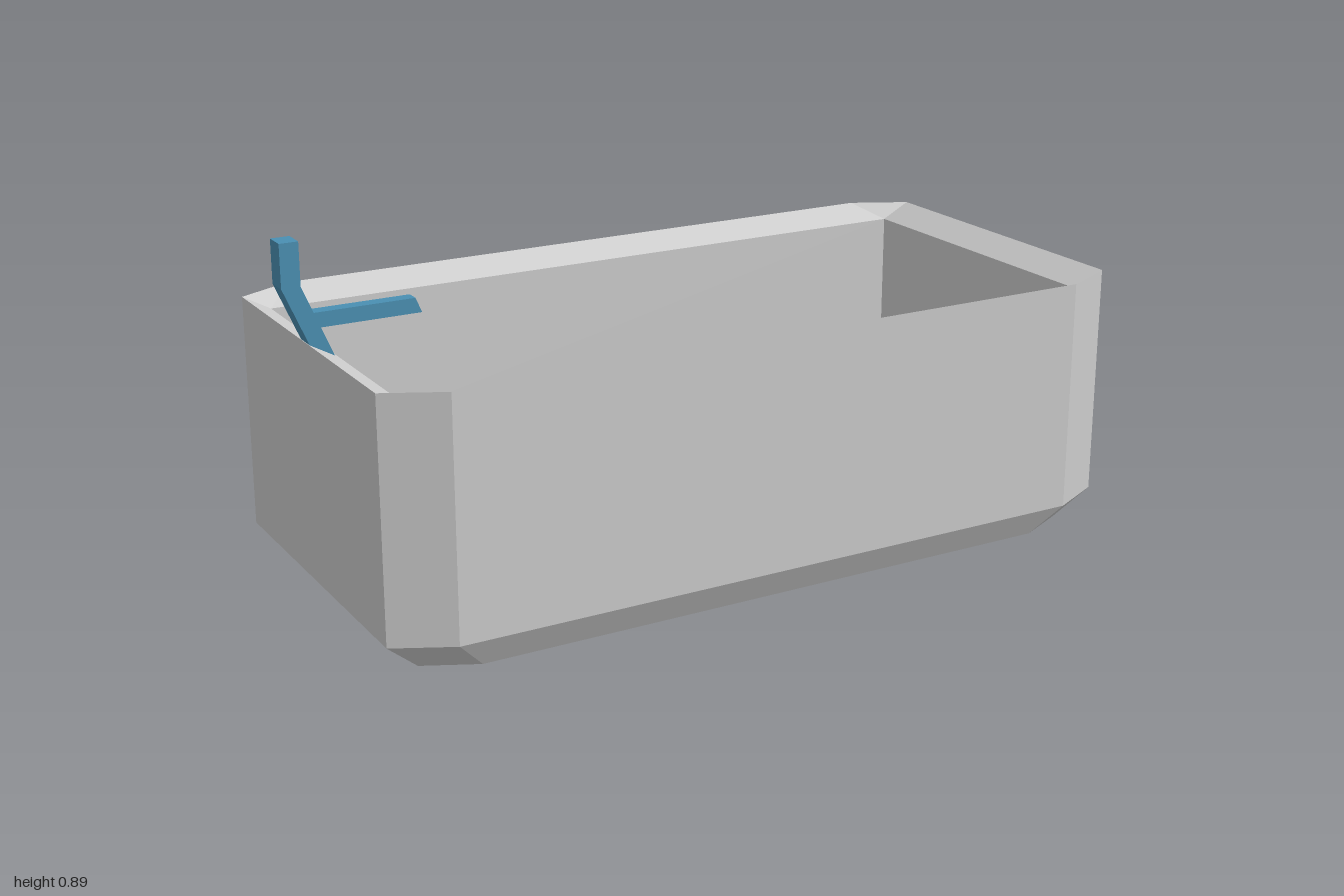
import * as THREE from 'three';

const ceramic = new THREE.MeshStandardMaterial({ color: 0xcccccc });
ceramic.name = 'grey ceramic';
const metal = new THREE.MeshStandardMaterial({ color: 0x4a8fb2 });
metal.name = 'blue metal';

// Chamfered rectangle: half sizes hx, hz with corners cut by cx, cz
function ring(y, hx, hz, cx = 0, cz = 0, x0 = 0.0275) {
  const points = [];
  for (const [sx, sz] of [[1, 1], [-1, 1], [-1, -1], [1, -1]]) {
    const pair = [
      new THREE.Vector3(x0 + sx * hx, y, sz * (hz - cz)),
      new THREE.Vector3(x0 + sx * (hx - cx), y, sz * hz),
    ];
    points.push(...(sx * sz > 0 ? pair : pair.reverse()));
  }
  return points;
}

// Flat-faced surface through successive rings, skipping collapsed triangles
function loft(name, rings) {
  const positions = [];
  const addTriangle = (...corners) => {
    if (new THREE.Triangle(...corners).getArea() < 1e-7) return;
    for (const p of corners) positions.push(p.x, p.y, p.z);
  };
  for (let k = 0; k < rings.length - 1; k++) {
    for (let i = 0; i < 8; i++) {
      const j = (i + 1) % 8;
      const [a, b, c, d] = [rings[k][i], rings[k][j], rings[k + 1][j], rings[k + 1][i]];
      addTriangle(a, b, c);
      addTriangle(a, c, d);
    }
  }
  const geometry = new THREE.BufferGeometry();
  geometry.setAttribute('position', new THREE.Float32BufferAttribute(positions, 3));
  geometry.computeVertexNormals();
  const mesh = new THREE.Mesh(geometry, ceramic);
  mesh.name = name;
  return mesh;
}

// Side profile extruded evenly about z = 0
function bar(name, outline, width) {
  const shape = new THREE.Shape(outline.map(([x, y]) => new THREE.Vector2(x, y)));
  const geometry = new THREE.ExtrudeGeometry(shape, { depth: width, bevelEnabled: false });
  geometry.translate(0, 0, -width / 2);
  const mesh = new THREE.Mesh(geometry, metal);
  mesh.name = name;
  return mesh;
}

export function createModel() {
  const model = new THREE.Group();
  model.name = 'bathtub';

  const rimOuter = ring(0.655, 0.9725, 0.486, 0.141, 0.07);
  const rimInner = ring(0.615, 0.9, 0.418, 0, 0, 0.026);

  // Basin: flat floor, sloping lower sides, upright walls
  model.add(loft('basin', [
    ring(0.12, 0, 0),
    ring(0.12, 0.6775, 0.31),
    ring(0.225, 0.9, 0.418, 0, 0, 0.026),
    rimInner,
  ]));

  // Rim sloping down into the basin
  model.add(loft('rim', [rimInner, rimOuter]));

  // Outer walls, chamfered foot and underside
  model.add(loft('outerShell', [
    rimOuter,
    ring(0.075, 0.9725, 0.486, 0.141, 0.07),
    ring(0, 0.888, 0.445, 0.128, 0.062),
    ring(0, 0, 0),
  ]));

  // Tap at the right end: bent stem and spout
  const tap = new THREE.Group();
  tap.name = 'tap';
  tap.add(bar('stem', [
    [-0.925, 0.615], [-0.881, 0.615], [-0.955, 0.79],
    [-0.955, 0.893], [-1, 0.893], [-1, 0.79],
  ], 0.055));
  tap.add(bar('spout', [
    [-0.925, 0.687], [-0.665, 0.687], [-0.68, 0.723], [-0.94, 0.723],
  ], 0.034));
  model.add(tap);

  return model;
}
